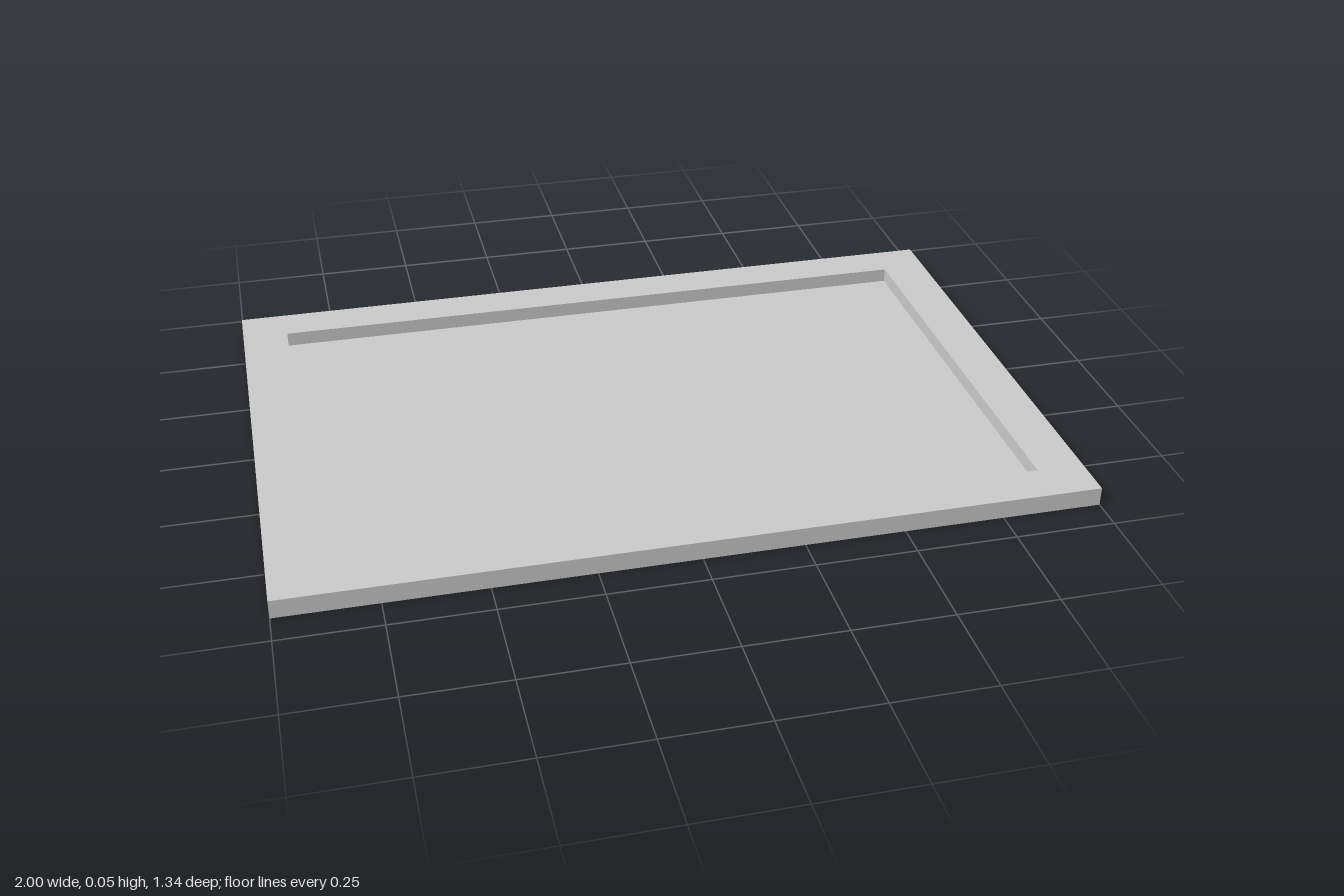
import * as THREE from 'three';

const WIDTH = 2, DEPTH = 1.337, HEIGHT = 0.048;
const INNER_WIDTH = 1.76, INNER_DEPTH = 1.118, FLOOR = 0.01;

// Corners of a centred rectangle
function rectangle(w, d) {
  return [[-1, -1], [1, -1], [1, 1], [-1, 1]].map(
    ([x, y]) => new THREE.Vector2(x * w / 2, y * d / 2));
}

export function createModel() {
  const group = new THREE.Group();
  group.name = 'shallowTray';
  const material = new THREE.MeshStandardMaterial({ color: 0xcccccc, flatShading: true });

  // Raised rim: a flat rectangular frame with a rectangular opening
  const outline = new THREE.Shape(rectangle(WIDTH, DEPTH));
  outline.holes.push(new THREE.Path(rectangle(INNER_WIDTH, INNER_DEPTH).reverse()));
  const rimGeometry = new THREE.ExtrudeGeometry(outline, { depth: HEIGHT, bevelEnabled: false });
  rimGeometry.rotateX(-Math.PI / 2);
  const rim = new THREE.Mesh(rimGeometry, material);
  rim.name = 'rim';

  // Thin recessed floor filling the opening, flush with the underside
  const floor = new THREE.Mesh(new THREE.BoxGeometry(INNER_WIDTH, FLOOR, INNER_DEPTH), material);
  floor.name = 'recessedFloor';
  floor.position.y = FLOOR / 2;

  group.add(rim, floor);
  return group;
}
